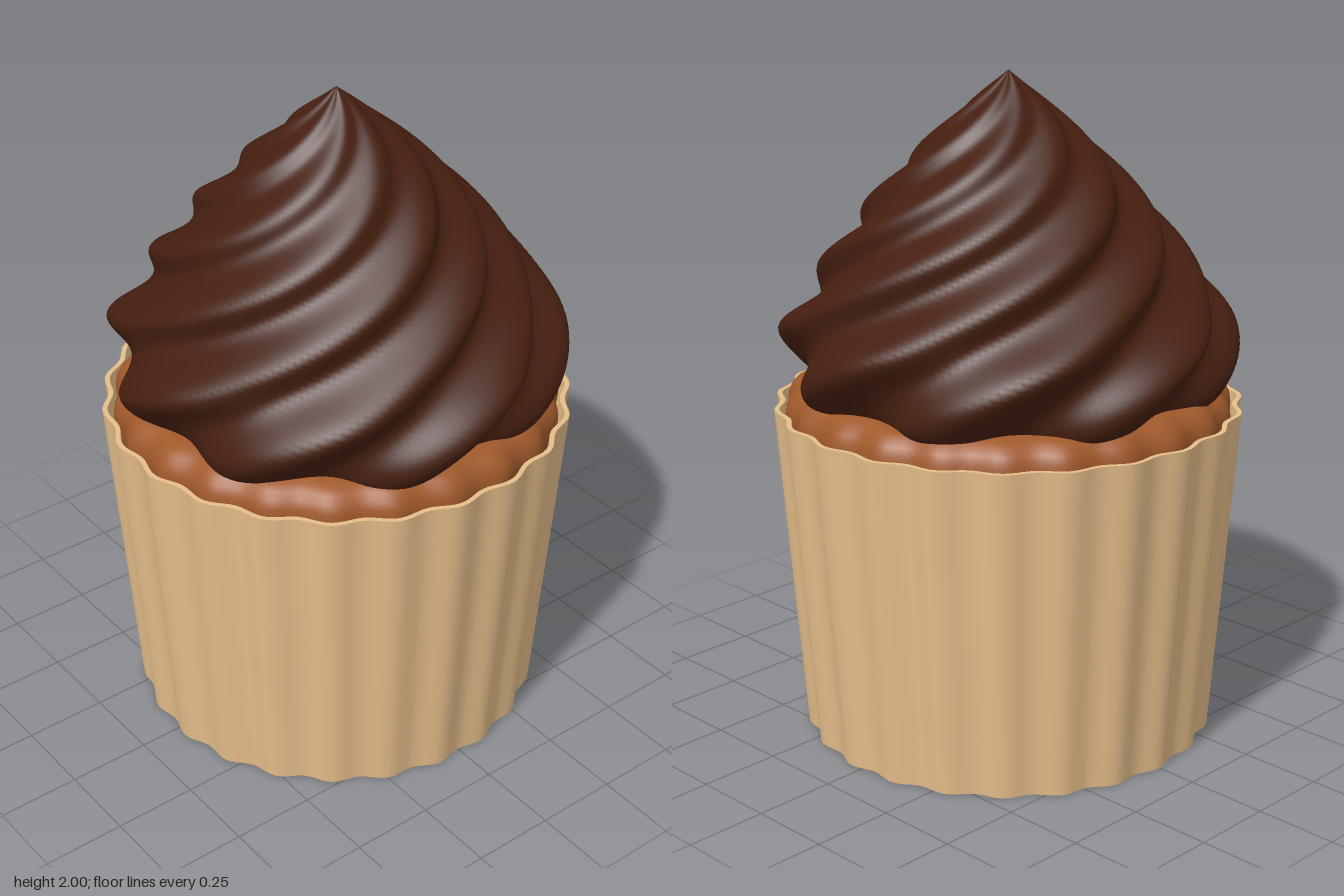
import * as THREE from 'three';
import { mergeVertices, toCreasedNormals } from 'three/addons/utils/BufferGeometryUtils.js';

const FLUTES = 23;      // pleats of the paper cup
const SWIRLS = 8;       // ridges of the frosting

// Lathe a profile of [radius, height] pairs, then reshape each radius by a rule.
function rippledLathe(profile, segments, rule) {
  const lathe = new THREE.LatheGeometry(profile.map(([r, y]) => new THREE.Vector2(r, y)), segments);
  const pos = lathe.attributes.position;
  for (let i = 0; i < pos.count; i++) {
    const x = pos.getX(i), y = pos.getY(i), z = pos.getZ(i);
    const r = Math.hypot(x, z);
    if (r < 1e-5) continue;
    const k = rule(r, y, Math.atan2(z, x)) / r;
    pos.setXYZ(i, x * k, y, z * k);
  }
  // weld the seam so the shading runs on smoothly
  lathe.deleteAttribute('uv');
  lathe.deleteAttribute('normal');
  const welded = mergeVertices(lathe, 1e-5);
  welded.computeVertexNormals();
  return welded;
}

// Smooth profile through a few points
function smoothProfile(points, count) {
  const curve = new THREE.CatmullRomCurve3(points.map(([r, y]) => new THREE.Vector3(r, y, 0)), false, 'centripetal');
  return curve.getSpacedPoints(count).map((p) => [Math.max(p.x, 0), p.y]);
}

// Pleats, with one peak at the very back
const pleat = (depth) => (r, y, a) =>
  r + depth * Math.min(1, r / 0.6) * Math.cos(FLUTES * (a + Math.PI / 2));

// Twisted ridges: they climb slowly at the bottom, then at a steady pitch
function swirl(r, y, a) {
  const turns = 5.5 * y + 0.9 * Math.exp((1.05 - y) / 0.2) - 8.146;
  return r * (1 + 0.063 * Math.cos(SWIRLS * a + 2 * Math.PI * turns));
}

function addPart(group, name, geometry, color) {
  const material = new THREE.MeshStandardMaterial({ color, side: THREE.DoubleSide });
  const mesh = new THREE.Mesh(geometry, material);
  mesh.name = name;
  group.add(mesh);
}

export function createModel() {
  const group = new THREE.Group();
  group.name = 'cupcake';

  // pleated paper cup with a thin rim and a flat bottom
  const cup = rippledLathe(
    [[0, 0.005], [0.615, 0.005], [0.653, 0.5], [0.692, 1.015], [0.677, 1.015], [0.638, 0.5], [0.602, 0.02], [0, 0.02]],
    230, pleat(0.01));
  addPart(group, 'paperCup', toCreasedNormals(cup, 0.7), 0xe6be8a);

  // cake top rising just above the rim
  const cakeProfile = smoothProfile(
    [[0.645, 0.9], [0.66, 0.98], [0.655, 1.03], [0.63, 1.065], [0.59, 1.083], [0.5, 1.09], [0, 1.09]], 32);
  addPart(group, 'cake', rippledLathe(cakeProfile, 230, pleat(0.009)), 0xa0592b);

  // twisted frosting ending in a point
  const frostingProfile = smoothProfile(
    [[0.54, 1.035], [0.595, 1.07], [0.63, 1.13], [0.645, 1.2], [0.634, 1.27], [0.572, 1.365],
      [0.448, 1.55], [0.272, 1.755], [0.13, 1.89], [0, 2]], 90);
  addPart(group, 'frosting', rippledLathe(frostingProfile, 192, swirl), 0x461f10);

  return group;
}
